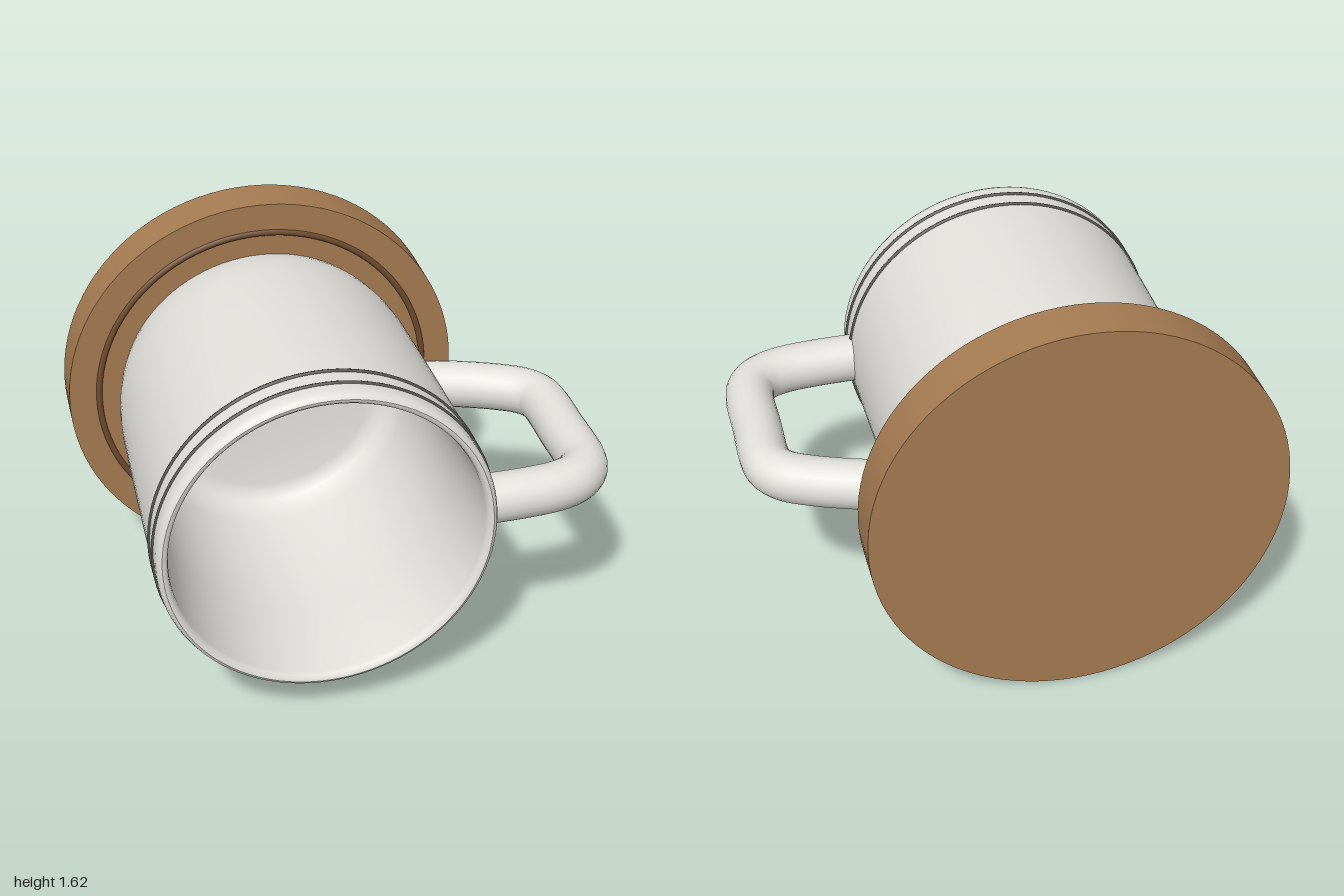
import * as THREE from 'three';
import { toCreasedNormals } from 'three/addons/utils/BufferGeometryUtils.js';

export function createModel() {
  const model = new THREE.Group();
  model.name = 'mugOnCoaster';

  const mat = (color) => new THREE.MeshStandardMaterial({ color });
  const ceramic = mat(0xe2e1dc);
  const wood = mat(0xa67c52);
  const darkWood = mat(0x6e4c30);
  const darkLine = mat(0x55554f);

  // Mug and coaster share one axis, laid along z (local y becomes +z)
  const axis = new THREE.Group();
  axis.name = 'mugAndCoaster';
  axis.position.set(-0.1875, 0.8125, 0);
  axis.rotation.x = Math.PI / 2;
  model.add(axis);

  const add = (parent, name, geometry, material) => {
    const mesh = new THREE.Mesh(geometry, material);
    mesh.name = name;
    parent.add(mesh);
    return mesh;
  };

  const addRing = (name, radius, tube, along, material) => {
    const ring = add(axis, name, new THREE.TorusGeometry(radius, tube, 8, 96), material);
    ring.rotation.x = Math.PI / 2;
    ring.position.y = along;
  };

  // Coaster disc with a thin raised ring on its face
  add(axis, 'coaster', new THREE.CylinderGeometry(0.8125, 0.8125, 0.194, 96), wood).position.y = -0.613;
  addRing('coasterRing', 0.69, 0.014, -0.52, darkWood);

  // Mug body: outer wall, rounded rim, inner wall and floor in one profile
  const profile = [
    [0, -0.516], [0.595, -0.516], [0.608, -0.47], [0.62, -0.4], [0.628, -0.3],
    [0.635, 0], [0.641, 0.35], [0.643, 0.66], [0.642, 0.685], [0.635, 0.702],
    [0.622, 0.71], [0.61, 0.708], [0.601, 0.698], [0.597, 0.68],
    [0.58, 0.3], [0.558, -0.3], [0.545, -0.36], [0.52, -0.4], [0.49, -0.422],
    [0.455, -0.43], [0, -0.43],
  ].map(([r, y]) => new THREE.Vector2(r, y));
  add(axis, 'mugBody', toCreasedNormals(new THREE.LatheGeometry(profile, 96), 0.7), ceramic);

  // Two dark bands near the rim
  for (const along of [0.54, 0.625]) addRing('rimBand', 0.641, 0.009, along, darkLine);

  // Handle swept in the horizontal plane on the left side
  const path = new THREE.CatmullRomCurve3([
    [0.42, -0.347], [0.52, -0.328], [0.64, -0.29], [0.76, -0.24], [0.845, -0.19],
    [0.89, -0.13], [0.903, -0.06], [0.903, 0.15], [0.903, 0.35], [0.885, 0.43],
    [0.83, 0.49], [0.74, 0.525], [0.6, 0.541], [0.42, 0.545],
  ].map(([x, z]) => new THREE.Vector3(x, 0.8155, z)));
  add(model, 'handle', new THREE.TubeGeometry(path, 64, 0.097, 24, false), ceramic);

  return model;
}
